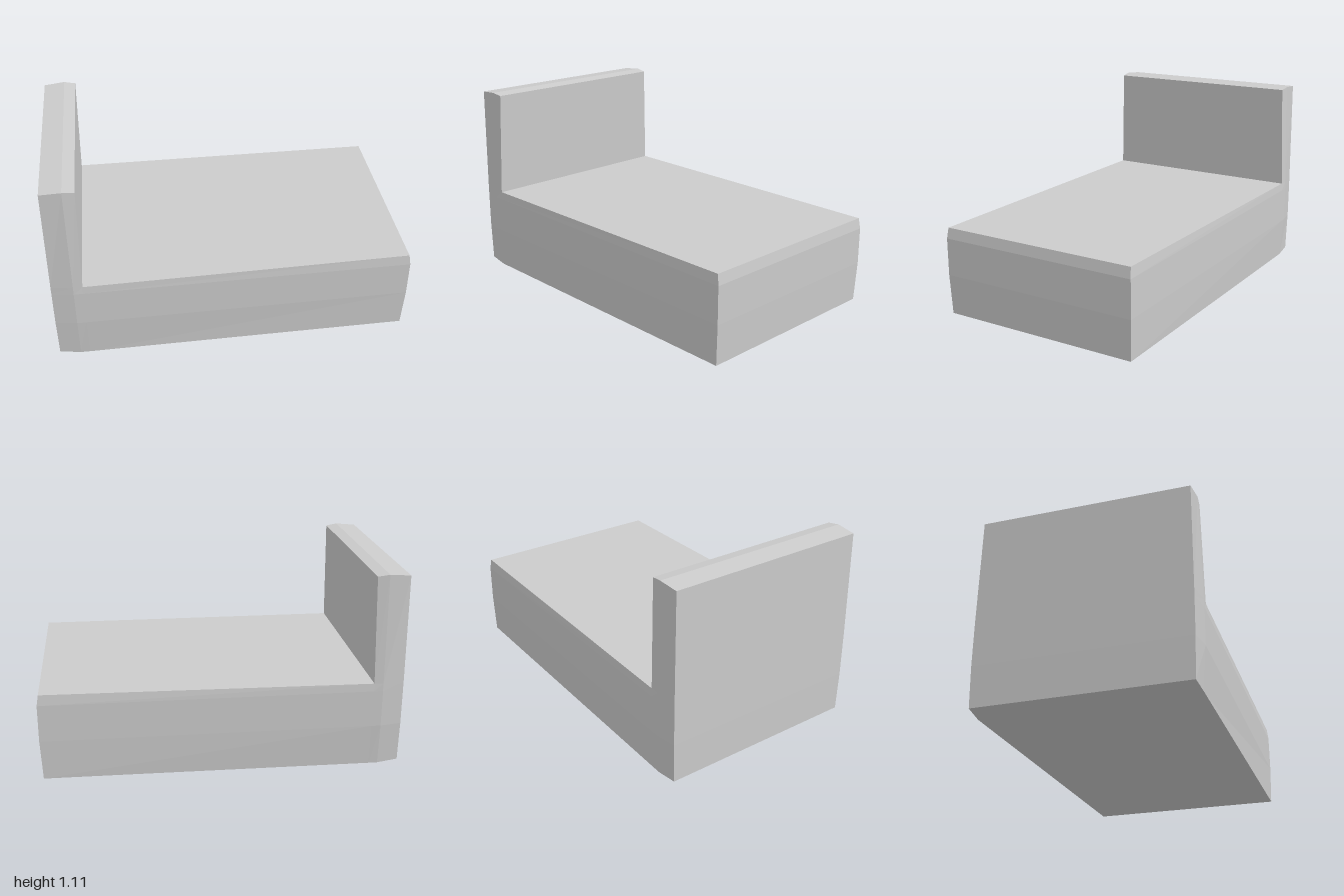
import * as THREE from 'three';

// Side grid, rows from bottom to top; each point is [x, y, half width]
const rows = [
  [[-0.997, 0.012, 0.578], [-0.88, 0, 0.586], [-0.83, 0, 0.586], [0.99, 0.012, 0.577]],
  [[-1, 0.24, 0.583], [-0.88, 0.24, 0.603], [-0.83, 0.24, 0.602], [1, 0.24, 0.583]],
  [[-1, 0.45, 0.583], [-0.88, 0.45, 0.603], [-0.83, 0.45, 0.602], [1, 0.45, 0.583]],
  [[-1, 0.495, 0.583], [-0.88, 0.495, 0.602], [-0.83, 0.495, 0.599], [0.99, 0.51, 0.577]],
  [[-0.997, 1.1, 0.578], [-0.88, 1.11, 0.586], [-0.815, 1.1, 0.58]],
];
// Outline of the L, counter-clockwise, as [row, column]
const outline = [[0, 0], [0, 1], [0, 2], [0, 3], [1, 3], [2, 3], [3, 3], [3, 2],
  [4, 2], [4, 1], [4, 0], [3, 0], [2, 0], [1, 0]];

export function createModel() {
  const positions = [];
  const at = (r, c, side) => {
    const [x, y, w] = rows[r][c];
    return [x, y, w * side];
  };
  const quad = (a, b, c, d) => positions.push(...a, ...b, ...c, ...a, ...c, ...d);

  // Bulged left and right sides
  for (let r = 0; r < rows.length - 1; r++) {
    for (let c = 0; c < rows[r + 1].length - 1; c++) {
      const corners = [[r, c], [r, c + 1], [r + 1, c + 1], [r + 1, c]];
      quad(...corners.map(([i, j]) => at(i, j, 1)));
      quad(...corners.reverse().map(([i, j]) => at(i, j, -1)));
    }
  }
  // Seat, backrest and base faces running across the width
  outline.forEach((a, i) => {
    const b = outline[(i + 1) % outline.length];
    quad(at(...a, 1), at(...a, -1), at(...b, -1), at(...b, 1));
  });

  const geometry = new THREE.BufferGeometry();
  geometry.setAttribute('position', new THREE.Float32BufferAttribute(positions, 3));
  geometry.computeVertexNormals();
  const body = new THREE.Mesh(geometry,
    new THREE.MeshStandardMaterial({ color: 0xcccccc, flatShading: true }));
  body.name = 'seatWithBackrest';

  const group = new THREE.Group();
  group.name = 'bench';
  group.add(body);
  return group;
}
